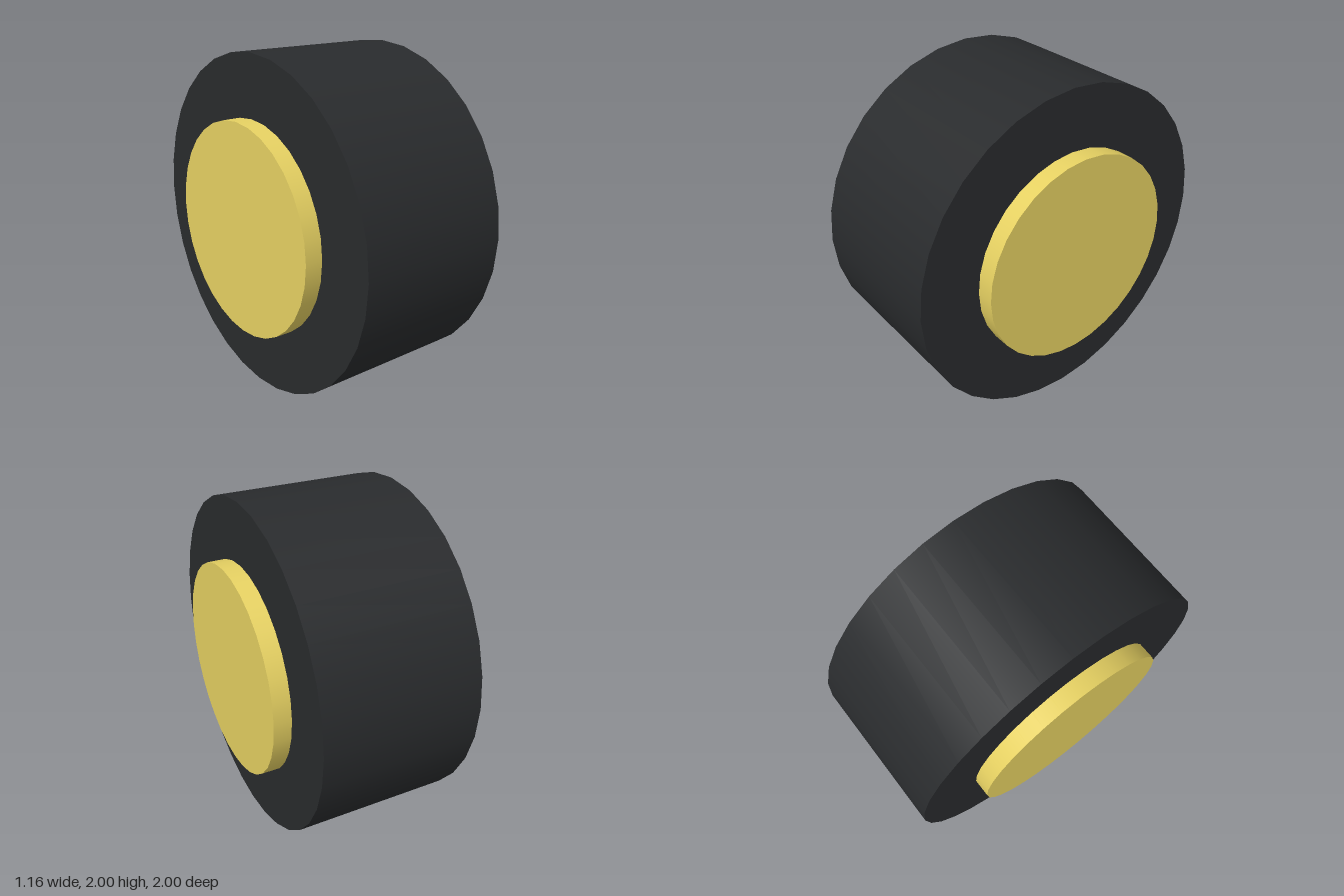
import * as THREE from 'three';

const SEGMENTS = 32;

// Solid disc lying along the x axis, with smooth sides and sharp rims
function axleDisc(name, radius, width, color) {
  const geometry = new THREE.CylinderGeometry(radius, radius, width, SEGMENTS);
  geometry.rotateZ(Math.PI / 2);
  const mesh = new THREE.Mesh(geometry, new THREE.MeshStandardMaterial({ color }));
  mesh.name = name;
  mesh.position.y = 1;
  return mesh;
}

export function createModel() {
  const wheel = new THREE.Group();
  wheel.name = 'wheel';

  // Wide tyre, with the hub running through it and standing proud on both sides
  wheel.add(axleDisc('tyre', 1, 0.95, 0x292b2d));
  wheel.add(axleDisc('hub', 0.635, 1.16, 0xe6d162));

  return wheel;
}
